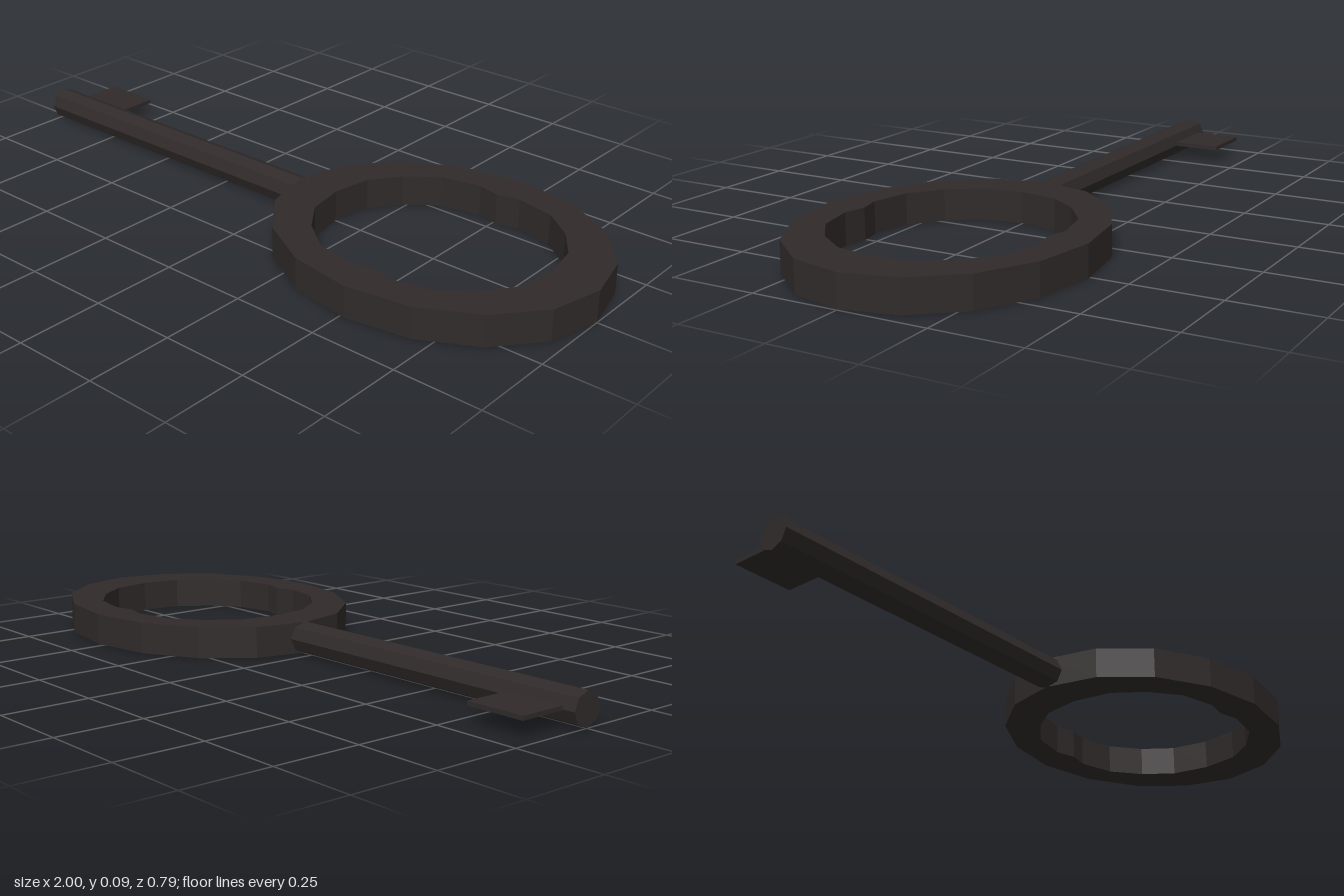
import * as THREE from 'three';

export function createModel() {
  const group = new THREE.Group();
  group.name = 'key';
  const metal = new THREE.MeshStandardMaterial({ color: 0x302b2a, flatShading: true });

  const add = (name, geometry, x, y, z) => {
    const mesh = new THREE.Mesh(geometry, metal);
    mesh.name = name;
    mesh.position.set(x, y, z);
    group.add(mesh);
  };

  // Bow: sixteen-sided oval ring with a slightly notched opening
  const oval = Array.from({ length: 16 }, (_, i) => {
    const a = (i / 16) * Math.PI * 2;
    return new THREE.Vector2(0.485 * Math.cos(a), 0.397 * Math.sin(a));
  });
  const bow = new THREE.Shape(oval);
  const quarter = [[0.35, 0], [0.33, 0.115], [0.268, 0.202], [0.18, 0.27], [0.065, 0.295], [0, 0.28]];
  const upper = [...quarter, ...quarter.slice(1, 5).reverse().map(([x, y]) => [-x, y]), [-0.35, 0]];
  const lower = upper.slice(1, -1).reverse().map(([x, y]) => [x, -y]);
  const opening = [...upper, ...lower].map(([x, y]) => new THREE.Vector2(x - 0.005, y));
  bow.holes.push(new THREE.Path(opening));
  const bowGeometry = new THREE.ExtrudeGeometry(bow, { depth: 0.09, bevelEnabled: false });
  bowGeometry.rotateX(-Math.PI / 2);
  add('bow', bowGeometry, 0.515, 0.002, 0);

  // Shaft: octagonal rod running into the bow
  const shaft = new THREE.CylinderGeometry(0.047, 0.047, 1.07, 8);
  shaft.rotateZ(Math.PI / 2);
  add('shaft', shaft, -0.465, 0.047, 0);

  // Bit: thin plate on the back side near the tip
  add('bit', new THREE.BoxGeometry(0.176, 0.012, 0.185), -0.874, 0.05, -0.0925);

  return group;
}
